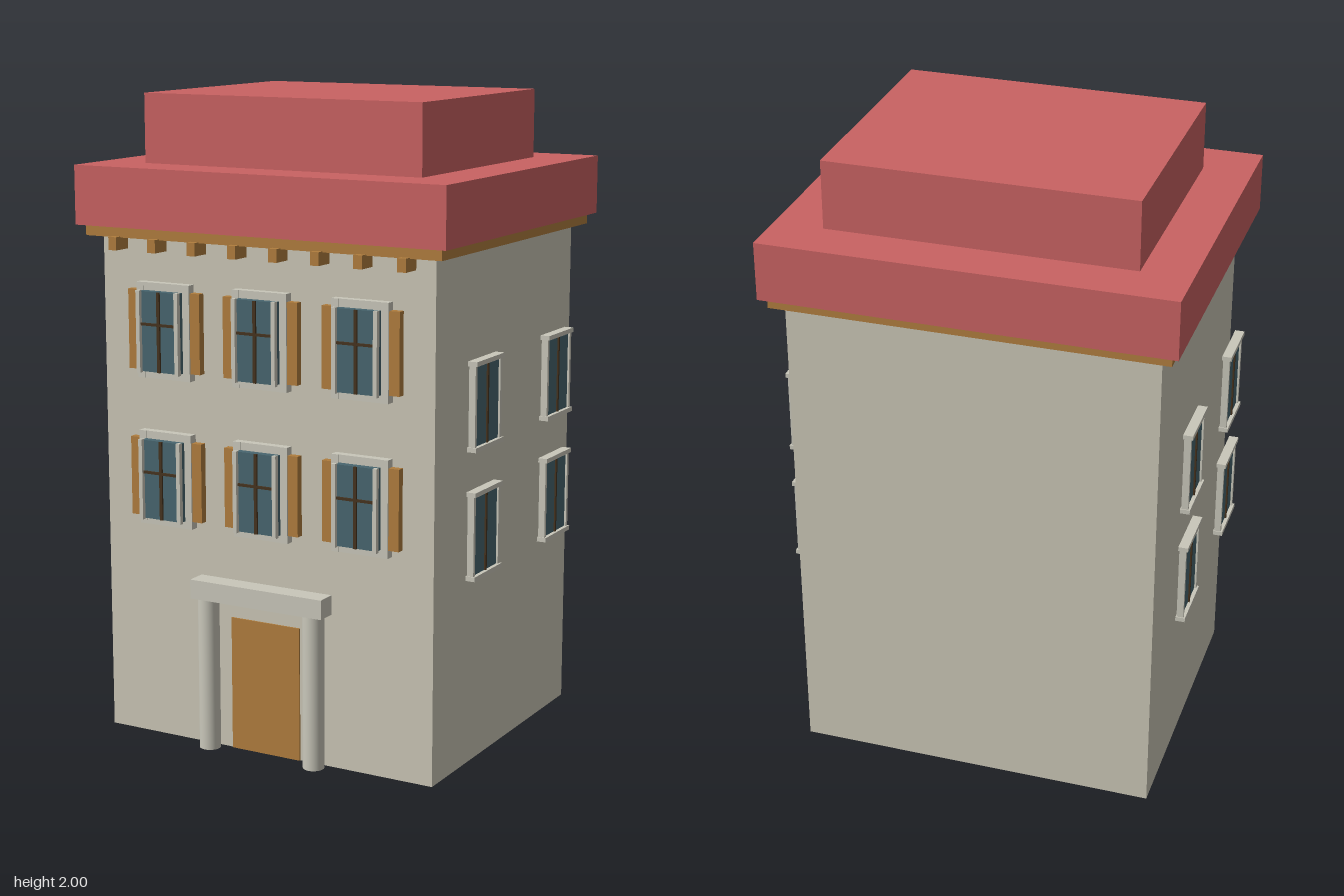
import * as THREE from 'three';

const mat = (name, color) => {
  const m = new THREE.MeshStandardMaterial({ color });
  m.name = name;
  return m;
};

export function createModel() {
  const wall = mat('stone wall', 0xcac6b6);
  const trim = mat('pale trim', 0xc9c7ba);
  const roof = mat('red roof', 0xc96262);
  const wood = mat('ochre wood', 0xb07d3e);
  const glass = mat('blue glass', 0x48666f);
  const bar = mat('dark bars', 0x46331f);

  const model = new THREE.Group();
  model.name = 'townhouse';

  // Box given by its extents on each axis
  const box = (parent, name, material, [x0, x1], [y0, y1], [z0, z1]) => {
    const m = new THREE.Mesh(new THREE.BoxGeometry(x1 - x0, y1 - y0, z1 - z0), material);
    m.position.set((x0 + x1) / 2, (y0 + y1) / 2, (z0 + z1) / 2);
    m.name = name;
    parent.add(m);
    return m;
  };

  // Main volumes
  box(model, 'body', wall, [-0.57, 0.57], [0, 1.58], [-0.475, 0.475]);
  box(model, 'cornice', wood, [-0.607, 0.607], [1.572, 1.605], [-0.515, 0.515]);
  box(model, 'lowerRoof', roof, [-0.63, 0.63], [1.605, 1.787], [-0.537, 0.537]);
  box(model, 'upperRoof', roof, [-0.475, 0.475], [1.787, 2], [-0.385, 0.382]);

  // Corbels below the front eave
  for (let i = 0; i < 8; i++) {
    const x = -0.495 + i * 0.141;
    box(model, 'corbel', wood, [x - 0.014, x + 0.014], [1.535, 1.575], [0.47, 0.538]);
  }

  // Front windows with shutters; local origin at the window centre on the wall
  const frontWindow = (x, y) => {
    const g = new THREE.Group();
    g.name = 'frontWindow';
    g.position.set(x, y, 0.475);
    box(g, 'glass', glass, [-0.07, 0.07], [-0.123, 0.123], [0, 0.05]);
    box(g, 'lintel', trim, [-0.093, 0.093], [0.123, 0.147], [0, 0.026]);
    box(g, 'sill', trim, [-0.093, 0.093], [-0.147, -0.123], [0, 0.026]);
    box(g, 'verticalBar', bar, [-0.005, 0.005], [-0.123, 0.123], [0.05, 0.056]);
    box(g, 'crossBar', bar, [-0.066, 0.066], [0.019, 0.027], [0.05, 0.056]);
    for (const s of [-1, 1]) {
      const span = (a, b) => (s > 0 ? [a, b] : [-b, -a]);
      box(g, 'jamb', trim, span(0.069, 0.094), [-0.147, 0.147], [0, 0.028]);
      box(g, 'post', trim, span(0.062, 0.075), [-0.126, 0.126], [0.048, 0.063]);
      box(g, 'shutter', wood, span(0.094, 0.128), [-0.123, 0.123], [0, 0.024]);
    }
    model.add(g);
  };
  for (const x of [-0.339, 0, 0.339]) for (const y of [0.833, 1.293]) frontWindow(x, y);

  // Side windows, standing slightly off the wall; local +z points outward
  const sideWindow = (side, y, z) => {
    const g = new THREE.Group();
    g.name = 'sideWindow';
    g.position.set(side * 0.61, y, z);
    g.rotation.y = side * Math.PI / 2;
    box(g, 'glass', glass, [-0.082, 0.082], [-0.122, 0.122], [0.006, 0.018]);
    box(g, 'bar', bar, [-0.004, 0.004], [-0.12, 0.12], [0.018, 0.023]);
    for (const s of [-1, 1]) {
      box(g, 'rail', trim, [-0.093, 0.093], [s * 0.127 - 0.007, s * 0.127 + 0.007], [0, 0.03]);
      box(g, 'stile', trim, [s * 0.084 - 0.006, s * 0.084 + 0.006], [-0.121, 0.121], [0.003, 0.024]);
    }
    model.add(g);
  };
  for (const side of [-1, 1])
    for (const y of [0.74, 1.128])
      for (const z of [-0.255, 0.255]) sideWindow(side, y, z);

  // Doorway with a column either side
  const doorway = new THREE.Group();
  doorway.name = 'doorway';
  model.add(doorway);
  box(doorway, 'door', wood, [-0.12, 0.12], [0, 0.42], [0.47, 0.48]);
  box(doorway, 'doorLintel', trim, [-0.23, 0.23], [0.48, 0.54], [0.47, 0.54]);
  for (const s of [-1, 1]) {
    const column = new THREE.Mesh(new THREE.CylinderGeometry(0.033, 0.033, 0.48, 24), trim);
    column.position.set(s * 0.185, 0.24, 0.507);
    column.name = 'column';
    doorway.add(column);
  }

  return model;
}
